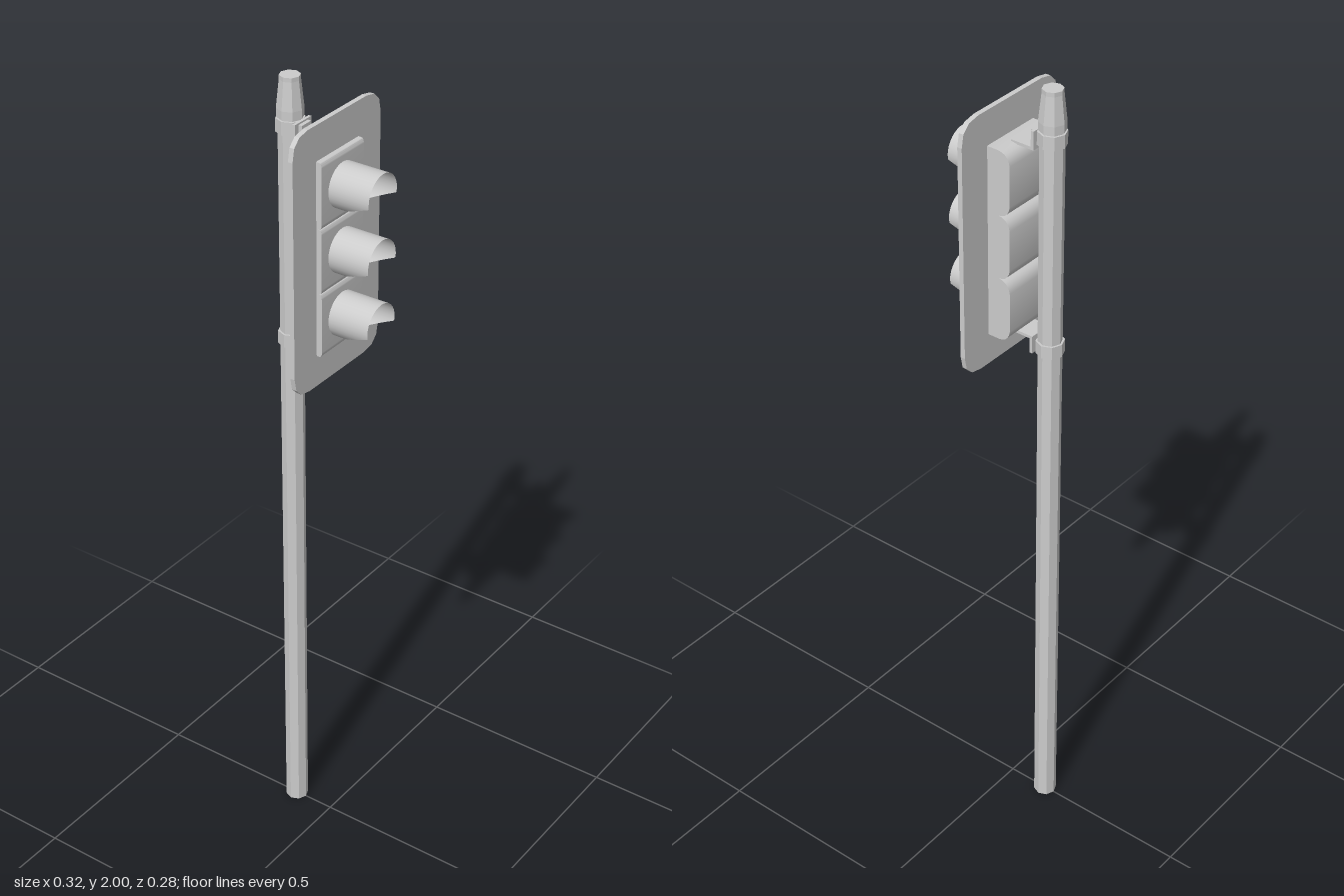
import * as THREE from 'three';
import { toCreasedNormals } from 'three/addons/utils/BufferGeometryUtils.js';

const grey = new THREE.MeshStandardMaterial({ color: 0xcccccc });
const flat = new THREE.MeshStandardMaterial({ color: 0xcccccc, flatShading: true });
const thin = new THREE.MeshStandardMaterial({ color: 0xcccccc, side: THREE.DoubleSide });

const POLE_Z = -0.105;
const LAMP_R = 0.053;
const FACE_Z = 0.033;
const MODULE_H = 0.157;
const LAMP_Y = [1.782, 1.625, 1.468];

function add(parent, name, geometry, material, x = 0, y = 0, z = 0) {
  const mesh = new THREE.Mesh(geometry, material);
  mesh.name = name;
  mesh.position.set(x, y, z);
  parent.add(mesh);
  return mesh;
}

// Rectangle with rounded corners, centred on the origin
function roundedRect(w, h, r) {
  const s = new THREE.Shape();
  const x = w / 2, y = h / 2;
  s.moveTo(-x + r, -y);
  s.lineTo(x - r, -y);
  s.quadraticCurveTo(x, -y, x, -y + r);
  s.lineTo(x, y - r);
  s.quadraticCurveTo(x, y, x - r, y);
  s.lineTo(-x + r, y);
  s.quadraticCurveTo(-x, y, -x, y - r);
  s.lineTo(-x, -y + r);
  s.quadraticCurveTo(-x, -y, -x + r, -y);
  return s;
}

// Signal module: side profile (z, y) with a softly rounded back, extruded across x
function moduleGeometry() {
  const h = MODULE_H / 2, back = -0.053, s = new THREE.Shape();
  s.moveTo(FACE_Z - 0.008, -h);
  s.quadraticCurveTo(FACE_Z, -h, FACE_Z, -h + 0.012);
  s.lineTo(FACE_Z, h - 0.012);
  s.quadraticCurveTo(FACE_Z, h, FACE_Z - 0.008, h);
  s.lineTo(back + 0.03, h);
  s.quadraticCurveTo(back + 0.004, h - 0.002, back, h - 0.03);
  s.lineTo(back, -h + 0.03);
  s.quadraticCurveTo(back + 0.004, -h + 0.002, back + 0.03, -h);
  const g = new THREE.ExtrudeGeometry(s, { depth: 0.156, bevelEnabled: false, curveSegments: 5 });
  g.translate(0, 0, -0.078);
  g.rotateY(-Math.PI / 2);
  return toCreasedNormals(g, 0.7);
}

// Sun hood: tube whose lower half is cut back on a slant
function hoodGeometry() {
  const g = new THREE.CylinderGeometry(LAMP_R, LAMP_R, 1, 32, 1, true);
  g.rotateX(Math.PI / 2);
  const p = g.attributes.position;
  for (let i = 0; i < p.count; i++) {
    const drop = Math.max(0, -p.getY(i) - 0.01) / (LAMP_R - 0.01);
    const length = 0.104 * (1 - 0.97 * drop);
    p.setZ(i, p.getZ(i) > 0 ? length : 0);
  }
  return g;
}

export function createModel() {
  const model = new THREE.Group();
  model.name = 'trafficLight';

  // Octagonal pole and tapered cap
  add(model, 'pole', new THREE.CylinderGeometry(0.028, 0.028, 1.91, 8), flat, 0, 0.955, POLE_Z);
  const capProfile = [[0, 1.905], [0.031, 1.905], [0.031, 1.925], [0.024, 1.99], [0.024, 2], [0, 2]]
    .map(([r, y]) => new THREE.Vector2(r, y));
  add(model, 'poleCap', new THREE.LatheGeometry(capProfile, 8), flat, 0, 0, POLE_Z);

  // Backing plate with an opening for the housing
  const plate = roundedRect(0.322, 0.632, 0.055);
  const hole = new THREE.Path();
  hole.moveTo(-0.077, -0.233);
  hole.lineTo(-0.077, 0.233);
  hole.lineTo(0.077, 0.233);
  hole.lineTo(0.077, -0.233);
  hole.closePath();
  plate.holes.push(hole);
  const plateGeometry = new THREE.ExtrudeGeometry(plate, { depth: 0.012, bevelEnabled: false, curveSegments: 3 });
  add(model, 'backPlate', plateGeometry, flat, 0, 1.628, 0.007);

  // Three stacked signals, each with housing, lens and hood
  const housing = moduleGeometry();
  const hood = hoodGeometry();
  const lens = new THREE.SphereGeometry(LAMP_R - 0.001, 24, 8, 0, Math.PI * 2, 0, Math.PI / 2);
  lens.rotateX(Math.PI / 2);
  lens.scale(1, 1, 0.35);
  LAMP_Y.forEach((y, i) => {
    const signal = new THREE.Group();
    signal.name = 'signal' + (i + 1);
    signal.position.y = y;
    add(signal, 'housing', housing, grey);
    add(signal, 'lens', lens, grey, 0, 0, FACE_Z - 0.002);
    add(signal, 'hood', hood, thin, 0, 0, FACE_Z);
    model.add(signal);
  });

  // Mounting brackets, mirrored above and below the housing
  for (const side of [1, -1]) {
    const bracket = new THREE.Group();
    bracket.name = side > 0 ? 'upperBracket' : 'lowerBracket';
    bracket.position.y = 1.625;
    add(bracket, 'arm', new THREE.BoxGeometry(0.06, 0.007, 0.06), grey, 0, side * 0.236, -0.048);
    add(bracket, 'upright', new THREE.BoxGeometry(0.06, 0.044, 0.007), grey, 0, side * 0.255, -0.0745);
    add(bracket, 'clampBlock', new THREE.BoxGeometry(0.034, 0.024, 0.018), grey, 0, side * 0.261, -0.071);
    add(bracket, 'clamp', new THREE.CylinderGeometry(0.033, 0.033, 0.032, 8), flat, 0, side * 0.261, POLE_Z);
    model.add(bracket);
  }

  return model;
}
